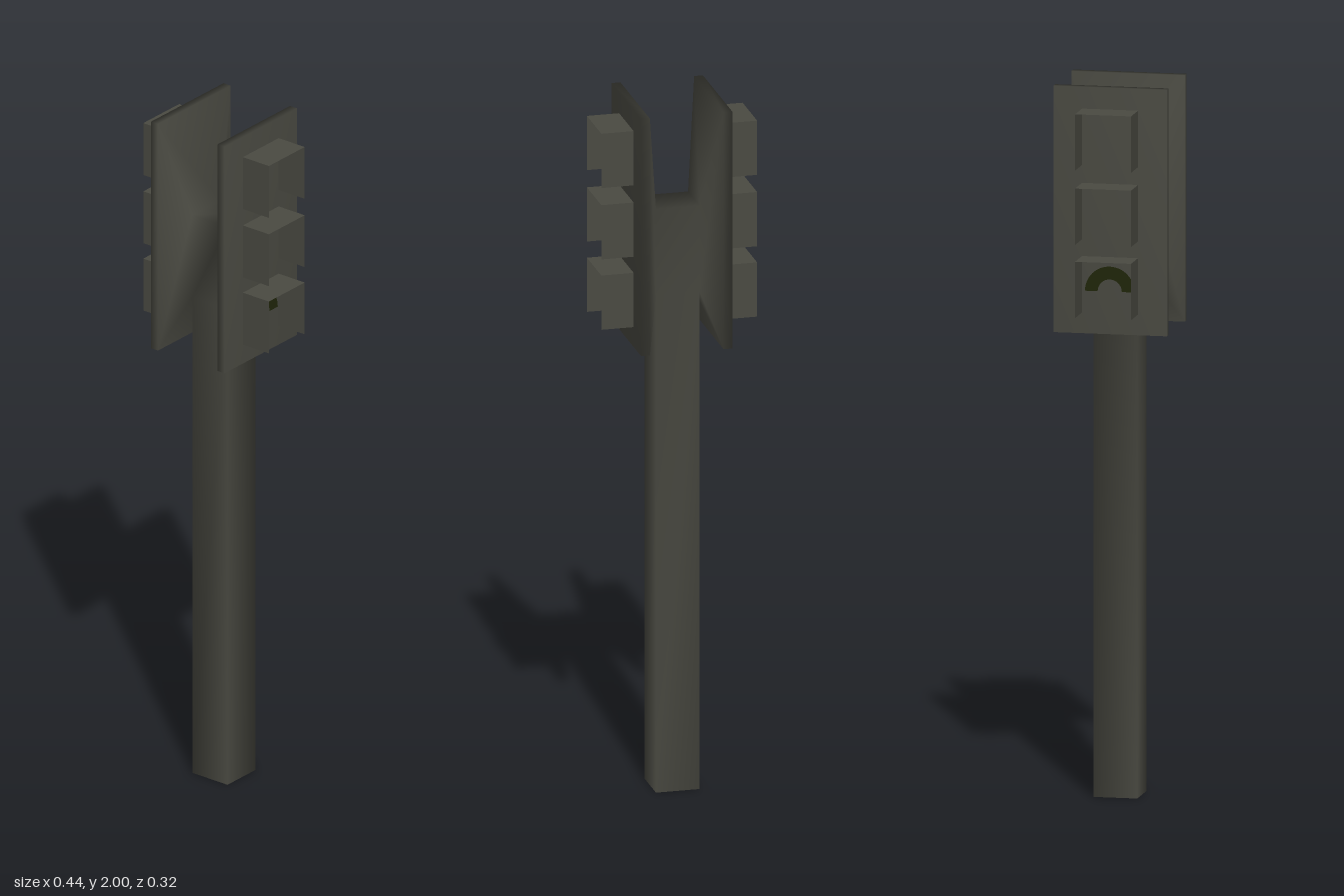
import * as THREE from 'three';
import { mergeGeometries } from 'three/addons/utils/BufferGeometryUtils.js';

const POLE = 0.062, POLE_TOP = 1.7;

// Square post whose two sides flare out into the signal panels, as one smooth skin
function bodyGeometry() {
  const pos = [], index = [];
  const rings = [ // x, bottom, top, half depth
    [POLE, 1.45, POLE_TOP, POLE],
    [0.105, 1.31, 2, 0.16],
    [0.13, 1.31, 2, 0.16],
  ];
  const quad = (a, b, c, d, flip) =>
    flip ? index.push(a, c, b, a, d, c) : index.push(a, b, c, a, c, d);

  [1, -1].forEach((s, n) => {
    const o = n * 14, flip = s < 0;
    for (const [x, lo, hi, z] of rings)
      pos.push(s * x, lo, z, s * x, lo, -z, s * x, hi, -z, s * x, hi, z);
    pos.push(s * POLE, 0, POLE, s * POLE, 0, -POLE);
    for (let r = 0; r < 2; r++)
      for (let i = 0; i < 4; i++) {
        const a = o + r * 4 + i, b = o + r * 4 + (i + 1) % 4;
        quad(a, b, b + 4, a + 4, flip);
      }
    quad(o + 8, o + 9, o + 10, o + 11, flip); // outer panel face
    quad(o + 12, o + 13, o + 1, o, flip); // post side
  });

  const R = 0, L = 14;
  quad(L + 12, R + 12, R, L); // post front
  quad(L, R, R + 3, L + 3);
  quad(R + 13, L + 13, L + 1, R + 1); // post back
  quad(R + 1, L + 1, L + 2, R + 2);
  quad(L + 3, R + 3, R + 2, L + 2); // post top
  quad(L + 13, R + 13, R + 12, L + 12); // post foot

  const g = new THREE.BufferGeometry();
  g.setAttribute('position', new THREE.Float32BufferAttribute(pos, 3));
  g.setIndex(index);
  g.computeVertexNormals();
  return g;
}

// Visor of three thin sheets: a roof and two cheeks, open outward and below
function hoodGeometry() {
  const depth = 0.092, size = 0.158;
  const roof = new THREE.PlaneGeometry(depth, size).rotateX(-Math.PI / 2).translate(0, size / 2, 0);
  const front = new THREE.PlaneGeometry(depth, size).translate(0, 0, size / 2);
  const back = new THREE.PlaneGeometry(depth, size).rotateY(Math.PI).translate(0, 0, -size / 2);
  return mergeGeometries([roof, front, back]);
}

export function createModel() {
  const model = new THREE.Group();
  model.name = 'signalPost';

  const metal = new THREE.MeshStandardMaterial({ color: 0x4a4a42 });
  metal.name = 'darkGreyMetal';
  metal.side = THREE.DoubleSide;
  const green = new THREE.MeshStandardMaterial({ color: 0x20260a });
  green.name = 'darkGreenLamp';
  green.side = THREE.DoubleSide;

  const add = (name, geometry, material, x, y, z) => {
    const mesh = new THREE.Mesh(geometry, material);
    mesh.name = name;
    mesh.position.set(x, y, z);
    model.add(mesh);
    return mesh;
  };

  add('postAndPanels', bodyGeometry(), metal, 0, 0, 0);

  // Three hoods on each panel, with a lamp arch in the lowest
  const hood = hoodGeometry();
  const arch = new THREE.RingGeometry(0.034, 0.07, 24, 1, 0, Math.PI);
  for (const s of [1, -1]) {
    const side = s > 0 ? 'left' : 'right';
    [1.86, 1.652, 1.447].forEach((y, i) => add(`${side}Hood${i + 1}`, hood, metal, s * 0.176, y, 0));
    add(`${side}LampArch`, arch, green, s * 0.134, 1.43, 0).rotation.y = s * Math.PI / 2;
  }
  return model;
}
